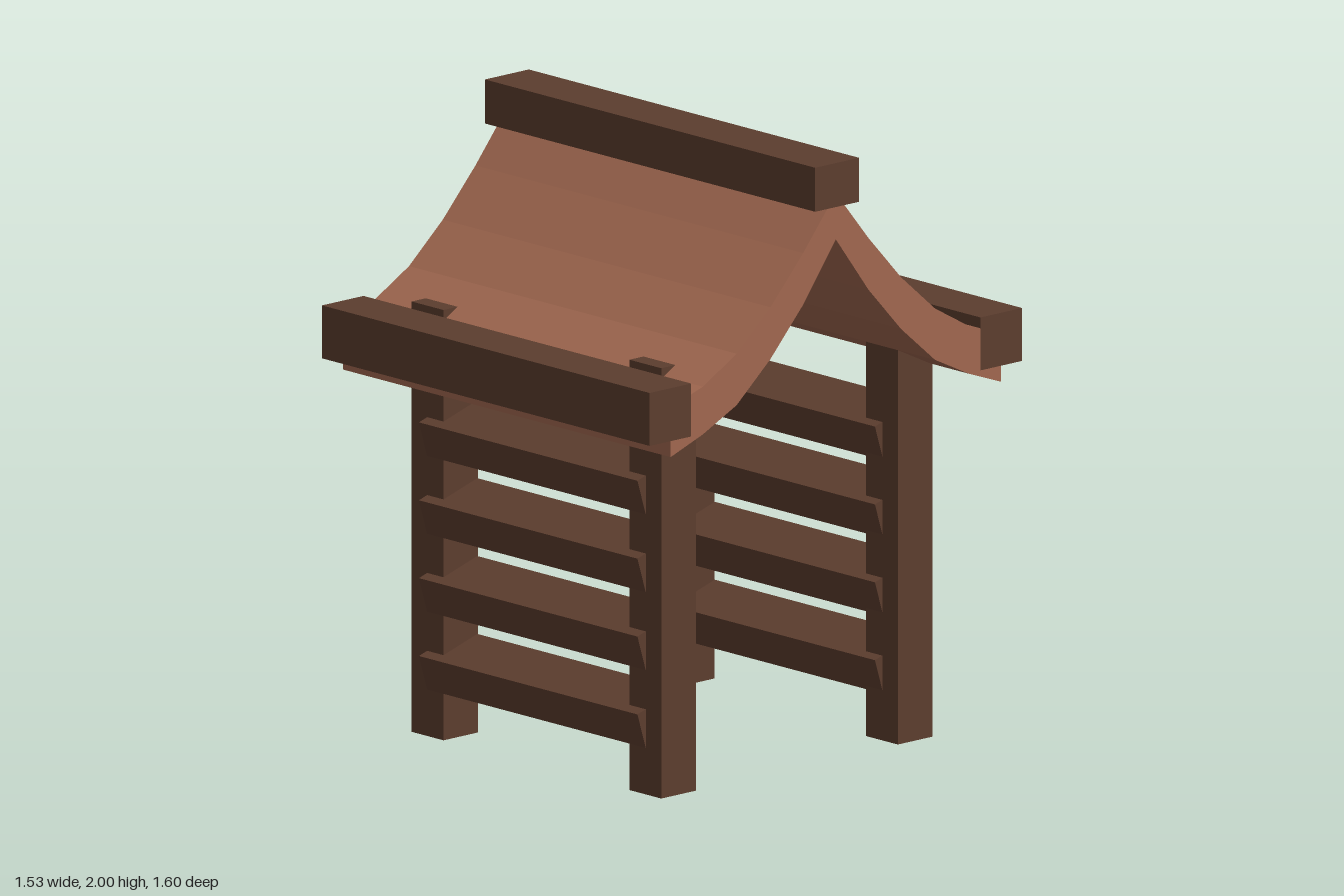
import * as THREE from 'three';

const wood = new THREE.MeshStandardMaterial({ color: 0x5c3d2e, flatShading: true });
wood.name = 'dark wood';
const clay = new THREE.MeshStandardMaterial({ color: 0xa0674f, flatShading: true });
clay.name = 'roof clay';

function beam(name, size, position, tilt = 0) {
  const mesh = new THREE.Mesh(new THREE.BoxGeometry(...size), wood);
  mesh.name = name;
  mesh.position.set(...position);
  mesh.rotation.x = tilt;
  return mesh;
}

// Curved gable roof: a mirrored (z, y) profile extruded along x
function makeRoof() {
  const z = [0, 0.14, 0.28, 0.425, 0.57, 0.708];
  const top = [1.9, 1.73, 1.578, 1.452, 1.37, 1.325];
  const under = [1.75, 1.562, 1.41, 1.285, 1.215, 1.165];
  const outline = [];
  for (let i = -5; i <= 5; i++) outline.push(new THREE.Vector2(Math.sign(i) * z[Math.abs(i)], under[Math.abs(i)]));
  for (let i = 5; i >= -5; i--) outline.push(new THREE.Vector2(Math.sign(i) * z[Math.abs(i)], top[Math.abs(i)]));
  const width = 1.52;
  const geometry = new THREE.ExtrudeGeometry(new THREE.Shape(outline), { depth: width, bevelEnabled: false });
  geometry.translate(0, 0, -width / 2);
  geometry.rotateY(-Math.PI / 2);
  const roof = new THREE.Mesh(geometry, clay);
  roof.name = 'roof';
  return roof;
}

export function createModel() {
  const model = new THREE.Group();
  model.name = 'shelter';
  model.add(makeRoof());
  model.add(beam('ridgeBeam', [1.532, 0.143, 0.188], [0, 1.9285, 0]));

  for (const side of [1, -1]) {
    const end = side > 0 ? 'front' : 'back';
    model.add(beam(end + 'EaveBeam', [1.52, 0.172, 0.178], [0, 1.303, side * 0.709]));

    // Posts poke slightly through the roof
    for (const x of [0.505, -0.505]) {
      const name = end + (x > 0 ? 'Left' : 'Right') + 'Post';
      model.add(beam(name, [0.148, 1.398, 0.148], [x, 0.699, side * 0.507]));
    }

    // Slats on both walls lean the same way
    for (let i = 0; i < 4; i++) {
      model.add(beam(end + 'Slat' + (i + 1), [1.014, 0.12, 0.188], [0, 0.236 + i * 0.253, side * 0.509], 0.297));
    }
  }
  return model;
}
